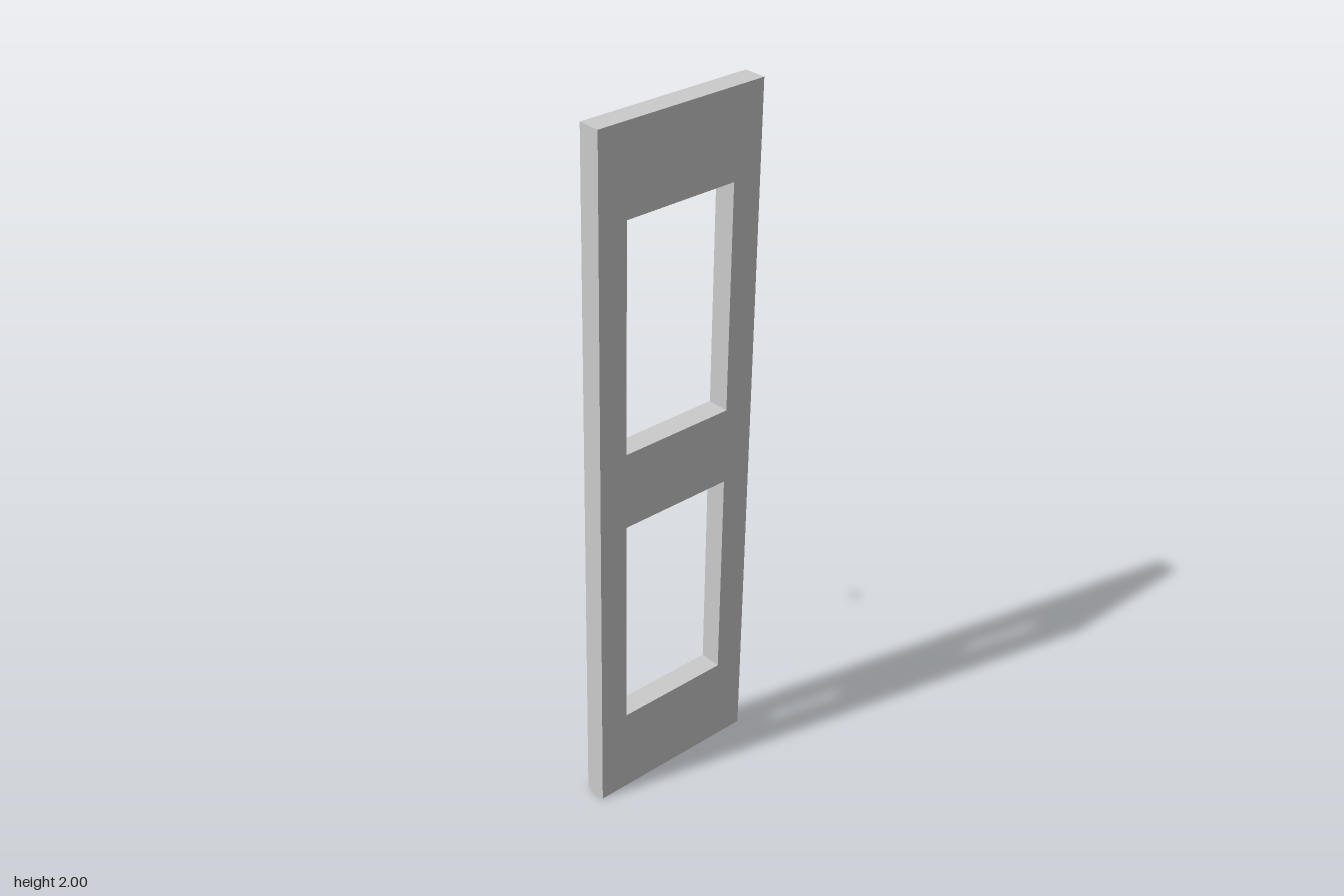
import * as THREE from 'three';

const rect = (Type, x0, x1, y0, y1) => new Type([
  new THREE.Vector2(x0, y0), new THREE.Vector2(x1, y0),
  new THREE.Vector2(x1, y1), new THREE.Vector2(x0, y1),
]);

// Drop the triangles lying on the floor, leaving the underside open
function openBottom(geometry) {
  const p = geometry.attributes.position;
  const kept = [];
  for (let i = 0; i < p.count; i += 3) {
    if (Math.max(p.getY(i), p.getY(i + 1), p.getY(i + 2)) < 0.001) continue;
    for (let j = i; j < i + 3; j++) kept.push(p.getX(j), p.getY(j), p.getZ(j));
  }
  const open = new THREE.BufferGeometry();
  open.setAttribute('position', new THREE.Float32BufferAttribute(kept, 3));
  open.computeVertexNormals();
  return open;
}

export function createModel() {
  const model = new THREE.Group();
  model.name = 'door';

  // Door leaf with two window openings
  const outline = rect(THREE.Shape, -0.258, 0.258, 0, 2);
  for (const [y0, y1] of [[0.255, 0.882], [1.104, 1.752]]) {
    outline.holes.push(rect(THREE.Path, -0.172, 0.17, y0, y1));
  }
  const leaf = new THREE.ExtrudeGeometry(outline, { depth: 0.064, bevelEnabled: false });
  leaf.translate(0, 0, 0.153);
  const doorLeaf = new THREE.Mesh(
    openBottom(leaf),
    new THREE.MeshStandardMaterial({ color: 0xcccccc, flatShading: true, side: THREE.DoubleSide }),
  );
  doorLeaf.name = 'doorLeaf';
  model.add(doorLeaf);

  // Small faceted knob on a stem, detached behind the leaf
  const profile = [[0, -0.217], [0.01, -0.217], [0.0148, -0.211], [0.004, -0.191], [0.004, -0.18], [0, -0.18]]
    .map(([r, z]) => new THREE.Vector2(r, z));
  const knob = new THREE.Mesh(
    new THREE.LatheGeometry(profile, 8, Math.PI / 8).rotateX(Math.PI / 2),
    new THREE.MeshStandardMaterial({ color: 0x3a1a1c, flatShading: true }),
  );
  knob.name = 'knob';
  knob.position.set(0.053, 1.13, 0);
  model.add(knob);

  return model;
}
